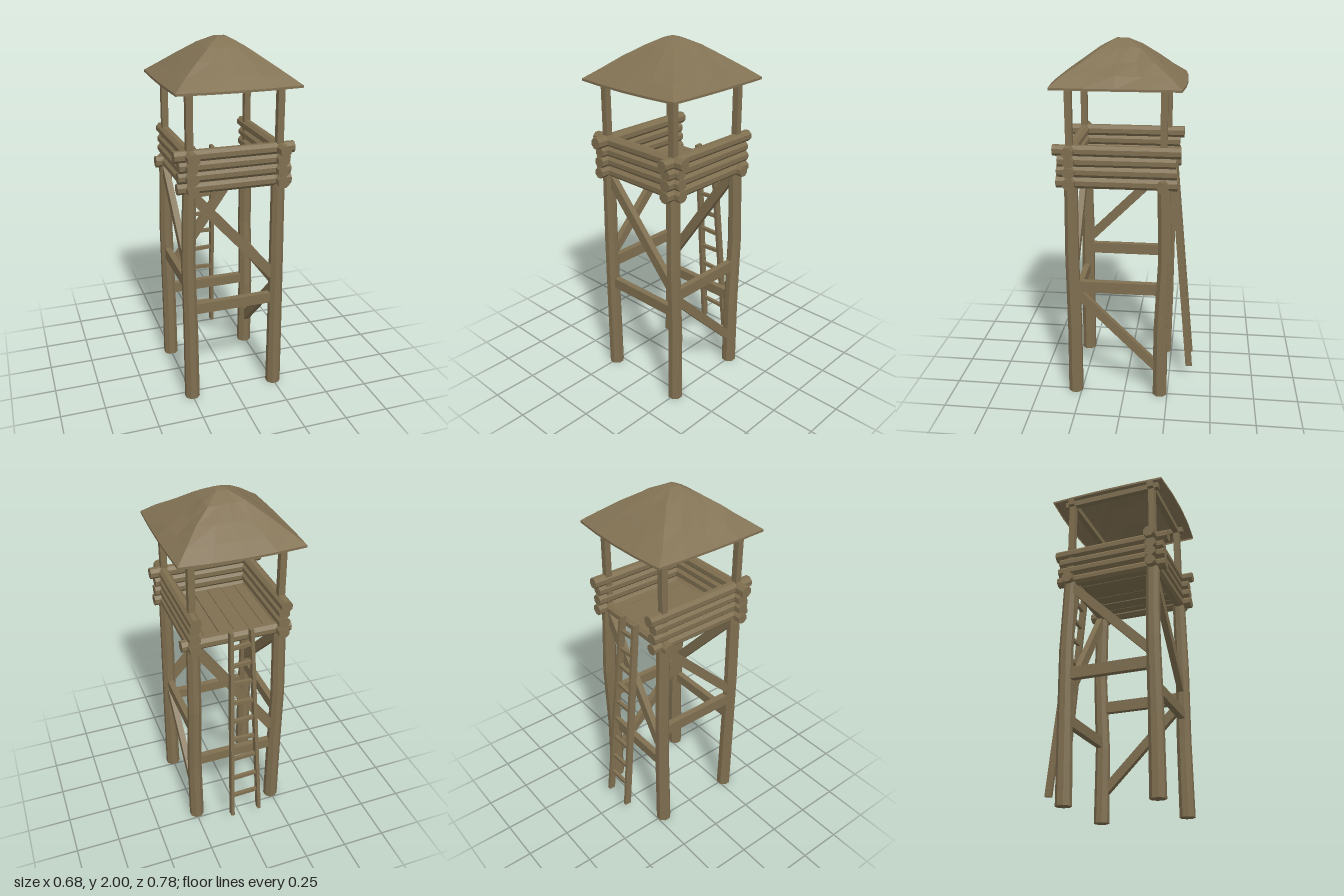
import * as THREE from 'three';

export function createModel() {
  const model = new THREE.Group();
  model.name = 'watchtower';
  const wood = new THREE.MeshStandardMaterial({ color: 0x7f6f50 });
  wood.name = 'weathered wood';
  const thatch = new THREE.MeshStandardMaterial({ color: 0x827254, side: THREE.DoubleSide });
  thatch.name = 'roof brown';
  const V = (x, y, z) => new THREE.Vector3(x, y, z);

  let seed = 7;
  const rand = (a) => {
    seed = (seed * 16807) % 2147483647;
    return (seed / 2147483647 - 0.5) * 2 * a;
  };

  // Faceted mesh
  function add(name, geometry, material = wood) {
    const g = geometry.index ? geometry.toNonIndexed() : geometry;
    g.computeVertexNormals();
    const mesh = new THREE.Mesh(g, material);
    mesh.name = name;
    model.add(mesh);
    return mesh;
  }

  // Rectangular plank running from a to b; w lies in the side direction, t across it
  function plank(name, a, b, w, t, side) {
    const dir = b.clone().sub(a);
    const y = dir.clone().normalize();
    const z = V(...side).cross(y).normalize();
    const x = y.clone().cross(z);
    const g = new THREE.BoxGeometry(t, dir.length(), w);
    g.applyMatrix4(new THREE.Matrix4().makeBasis(x, y, z));
    g.translate(...a.clone().add(b).multiplyScalar(0.5).toArray());
    return add(name, g);
  }

  // Bent leg: rings shifted sideways by the offsets at four heights
  function leg(name, x, z, offsets) {
    const h = 1.26;
    const g = new THREE.CylinderGeometry(0.037, 0.043, h, 8, 3);
    g.rotateY(Math.PI / 8);
    g.translate(0, h / 2, 0);
    const p = g.attributes.position;
    for (let i = 0; i < p.count; i++) {
      const [dx, dz] = offsets[Math.round((p.getY(i) / h) * 3)];
      p.setX(i, p.getX(i) + x + dx);
      p.setZ(i, p.getZ(i) + z + dz);
    }
    add(name, g);
  }
  leg('frontLeftLeg', 0.25, 0.285, [[0, 0], [0, -0.003], [-0.006, 0.004], [-0.008, 0]]);
  leg('frontRightLeg', -0.25, 0.285, [[0, 0], [-0.003, 0], [-0.01, -0.004], [0, 0]]);
  leg('backLeftLeg', 0.245, -0.207, [[0, 0], [0.003, 0.002], [0, -0.016], [-0.005, -0.005]]);
  leg('backRightLeg', -0.25, -0.207, [[0, 0], [0, -0.008], [-0.005, -0.012], [0, 0]]);

  // Horizontal beams and diagonal braces between the legs
  const Z = [0, 0, 1], X = [1, 0, 0];
  plank('frontBeam', V(-0.23, 0.568, 0.285), V(0.22, 0.568, 0.285), 0.06, 0.035, Z);
  plank('backBeam', V(-0.23, 0.452, -0.21), V(0.22, 0.452, -0.21), 0.06, 0.035, Z);
  plank('leftBeam', V(0.245, 0.668, 0.26), V(0.245, 0.668, -0.19), 0.065, 0.035, X);
  plank('rightBeam', V(-0.255, 0.7, 0.26), V(-0.255, 0.7, -0.19), 0.065, 0.035, X);
  plank('frontBrace', V(-0.235, 1.23, 0.285), V(0.225, 0.715, 0.285), 0.055, 0.035, Z);
  plank('backBrace', V(0.225, 1.24, -0.215), V(-0.225, 0.59, -0.215), 0.055, 0.035, Z);
  plank('leftBrace', V(0.248, 0.63, 0.265), V(0.248, 0.17, -0.195), 0.05, 0.035, X);
  plank('rightBrace', V(-0.255, 0.77, 0.265), V(-0.255, 1.23, -0.195), 0.05, 0.035, X);

  // Log walls: three full sides, the back keeps only its lowest log
  function log(name, alongX, y, at, from, to) {
    const g = new THREE.CylinderGeometry(0.032 + rand(0.002), 0.032 + rand(0.002), to - from, 8, 1);
    g.rotateY(Math.PI / 8);
    if (alongX) g.rotateZ(Math.PI / 2); else g.rotateX(Math.PI / 2);
    const mid = (from + to) / 2;
    g.translate(alongX ? mid : at, y, alongX ? at : mid);
    add(name, g);
  }
  [1.274, 1.334, 1.39, 1.446].forEach((y, i) => {
    const e = [0, -0.005, -0.01, 0.015][i];
    log('frontLog', true, y, 0.288, -0.318 - e, 0.308 + e);
    for (const s of [-1, 1]) log(s < 0 ? 'rightLog' : 'leftLog', false, y, s * 0.247, -0.283 - e, 0.362 + e);
  });
  log('backLog', true, 1.272, -0.207, -0.31, 0.305);

  // Floor boards
  for (let i = 0; i < 6; i++) {
    const g = new THREE.BoxGeometry(0.08, 0.018, 0.5);
    g.translate(-0.2075 + i * 0.083, 1.28 + rand(0.003), 0.038);
    add('floorBoard', g);
  }

  // Roof posts and the frame they carry
  for (const x of [-0.248, 0.242]) {
    for (const z of [-0.207, 0.288])
      plank('roofPost', V(x, 1.25, z), V(x, 1.81, z), 0.036, 0.036, X);
    plank('roofSideBeam', V(x, 1.795, -0.25), V(x, 1.795, 0.33), 0.034, 0.034, X);
  }
  for (const z of [-0.207, 0.288])
    plank('roofCrossBeam', V(-0.29, 1.793, z), V(0.285, 1.793, z), 0.034, 0.034, Z);

  // Hipped roof: square rings shrinking to the peak, slightly uneven
  const rings = [[1, 1.772], [1, 1.784], [0.8, 1.836], [0.56, 1.896], [0.31, 1.958], [0.09, 1.997], [0, 2]];
  const n = 4, around = n * 4, pos = [], idx = [];
  rings.forEach(([s, y], r) => {
    for (let k = 0; k < around; k++) {
      const t = ((k % n) / n) * 2 - 1;
      const [u, v] = [[t, 1], [1, -t], [-t, -1], [-1, t]][Math.floor(k / n)];
      const bulgeX = 0.008 * (1 - v * v), bulgeZ = 0.02 * (1 - u * u);
      const j = r > 1 && r < 5 ? 0.006 : 0;
      pos.push(
        s * u * (0.332 + bulgeX) - 0.003 * s + rand(j),
        y + rand(j * 0.7),
        0.037 + s * v * (0.335 + bulgeZ) + rand(j));
    }
  });
  for (let r = 0; r < rings.length - 1; r++) {
    for (let k = 0; k < around; k++) {
      const a = r * around + k, b = r * around + ((k + 1) % around);
      idx.push(a, b, b + around);
      if (r < rings.length - 2) idx.push(a, b + around, a + around);
    }
  }
  const roof = new THREE.BufferGeometry();
  roof.setAttribute('position', new THREE.Float32BufferAttribute(pos, 3));
  roof.setIndex(idx);
  add('roof', roof, thatch);

  // Leaning ladder, narrowing to the top
  const low = 0.09, high = 1.325;
  const rail = (s, y) => {
    const f = (y - low) / (high - low);
    return V(-0.013 + s * (0.085 - 0.028 * f), y, -0.369 + 0.117 * f);
  };
  for (const s of [-1, 1])
    plank(s < 0 ? 'rightLadderRail' : 'leftLadderRail', rail(s, low), rail(s, high), 0.038, 0.02, X);
  for (const y of [0.235, 0.365, 0.505, 0.64, 0.765, 0.885, 1.01, 1.125, 1.235]) {
    const tilt = V(0, rand(0.005), 0);
    plank('ladderRung', rail(-1, y).add(tilt), rail(1, y).sub(tilt), 0.02, 0.02, Z);
  }
  return model;
}
